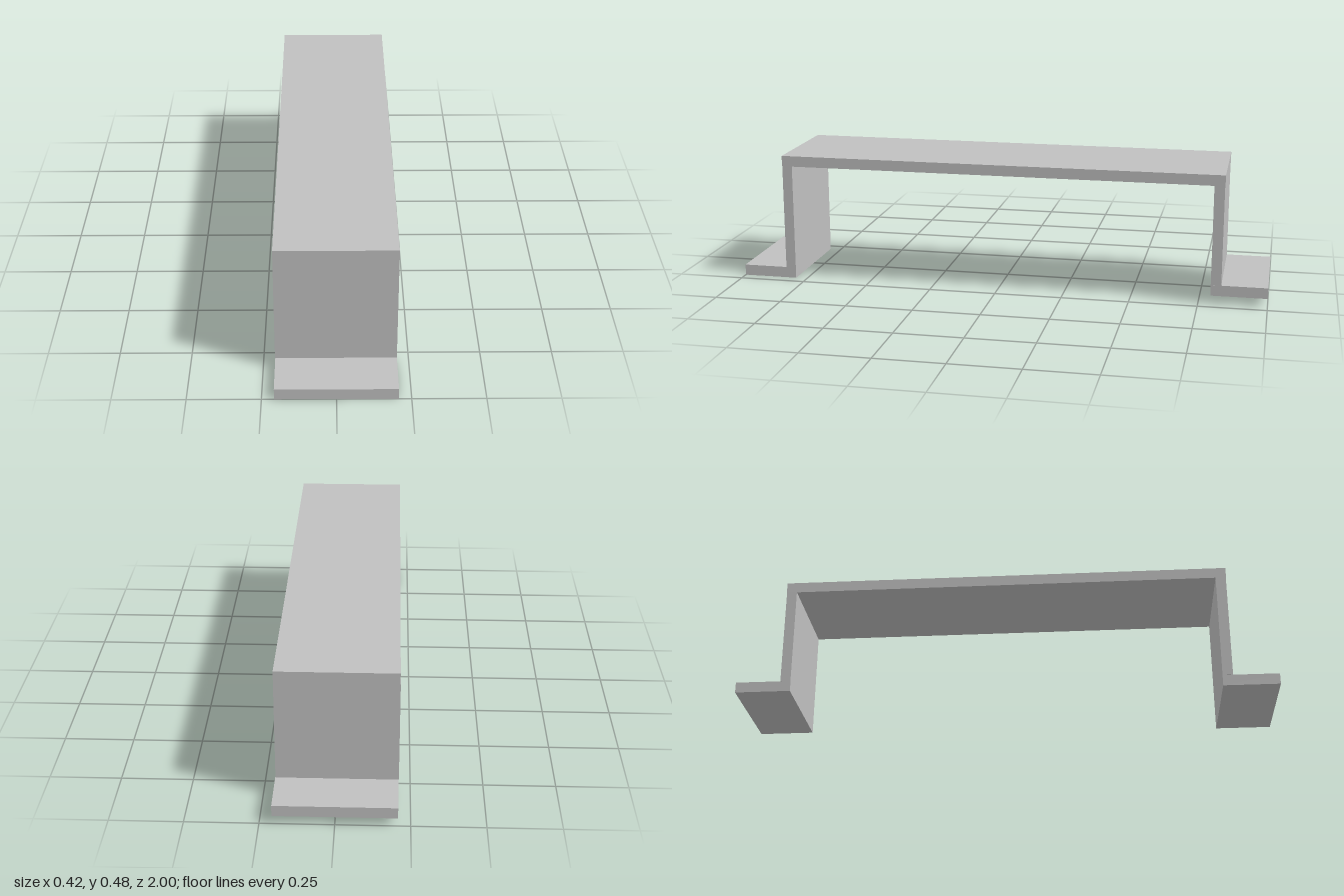
import * as THREE from 'three';

export function createModel() {
  const group = new THREE.Group();
  const metal = new THREE.MeshStandardMaterial({ color: 0xc0c0c0 });
  metal.name = 'light grey';

  // Box given by its [min, max] extents on each axis
  function plate(name, [x0, x1], [y0, y1], [z0, z1]) {
    const mesh = new THREE.Mesh(new THREE.BoxGeometry(x1 - x0, y1 - y0, z1 - z0), metal);
    mesh.position.set((x0 + x1) / 2, (y0 + y1) / 2, (z0 + z1) / 2);
    mesh.name = name;
    group.add(mesh);
  }

  // Long top plate
  plate('topPlate', [-0.209, 0.207], [0.44, 0.48], [-0.833, 0.833]);

  // Front leg and its outward foot
  plate('frontLeg', [-0.209, 0.207], [0.041, 0.44], [0.794, 0.832]);
  plate('frontFoot', [-0.208, 0.207], [0, 0.041], [0.794, 1]);

  // Back leg and its slightly raised outward foot
  plate('backLeg', [-0.21, 0.207], [0.07, 0.44], [-0.832, -0.794]);
  plate('backFoot', [-0.208, 0.208], [0.03, 0.07], [-1, -0.794]);

  return group;
}
